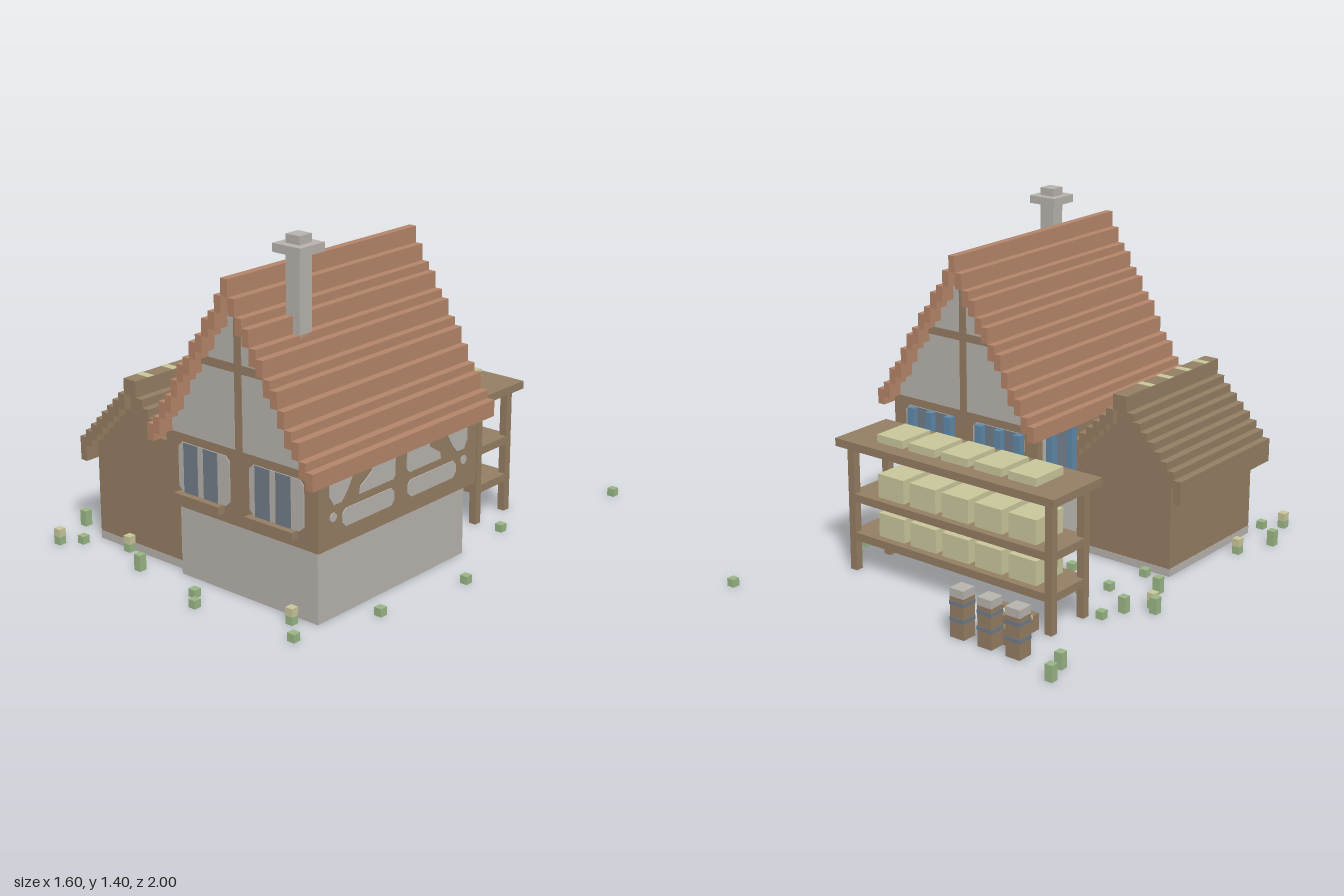
import * as THREE from 'three';

const V = 1 / 30; // one block unit; all sizes below are in blocks

function mat(name, color, side = THREE.FrontSide) {
  const m = new THREE.MeshStandardMaterial({ color, side });
  m.name = name;
  return m;
}

export function createModel() {
  const stone = mat('stone', 0xb8b3ad, THREE.DoubleSide);
  const wood = mat('wood', 0x957e64, THREE.DoubleSide);
  const tile = mat('roofTile', 0xb5866a);
  const straw = mat('straw', 0xc9c79b);
  const green = mat('grass', 0x9ab686);
  const slate = mat('slate', 0x727d88);
  const blue = mat('blue', 0x6089aa);

  const root = new THREE.Group();
  root.name = 'house';
  const part = (name) => {
    const g = new THREE.Group();
    g.name = name;
    root.add(g);
    return g;
  };
  const add = (g, name, geo, m) => {
    const mesh = new THREE.Mesh(geo, m);
    mesh.name = name;
    g.add(mesh);
    return mesh;
  };
  // block between two corners; open = without a bottom face
  function box(g, name, m, x0, x1, y0, y1, z0, z1, open = false) {
    const geo = new THREE.BoxGeometry((x1 - x0) * V, (y1 - y0) * V, (z1 - z0) * V);
    if (open) geo.setIndex([...geo.index.array].filter((_, i) => i < 18 || i >= 24));
    geo.translate((x0 + x1) / 2 * V, (y0 + y1) / 2 * V, (z0 + z1) / 2 * V);
    return add(g, name, geo, m);
  }
  // thin plate from an outline, in units
  function plate(g, name, m, pts) {
    const shape = new THREE.Shape(pts.map(([x, y]) => new THREE.Vector2(x, y)));
    return add(g, name, new THREE.ExtrudeGeometry(shape, { depth: 0.004, bevelEnabled: false }), m);
  }
  const chamfered = (x0, x1, y0, y1, c) => [
    [x0 + c, y0], [x1 - c, y0], [x1, y0 + c], [x1, y1 - c],
    [x1 - c, y1], [x0 + c, y1], [x0, y1 - c], [x0, y0 + c]];

  // ---- main house body
  const house = part('mainHouse');
  box(house, 'stoneBase', stone, -3, 18, 0, 8.95, -2, 24, true);
  box(house, 'upperStorey', wood, -4, 19, 9, 18, -3, 25);

  // stepped roof and the gable wall under it
  const roof = part('mainRoof');
  const tops = [38, 36, 34, 33, 31, 30, 28, 27, 25, 23, 22, 20, 19];
  tops.forEach((t, k) => {
    for (const s of k ? [-1, 1] : [1]) {
      const x = 7 + s * k;
      box(roof, 'tileRow', tile, x, x + 1, t - 2, t, -5, 27);
      if (t - 2 > 18) box(house, 'gableWall', stone, x, x + 1, 18, t - 2, -3, 25);
    }
  });

  // gable timbers and windows, front and back
  for (const [side, zWall, dir] of [['front', 25, 1], ['back', -3, -1]]) {
    const g = part(side + 'Facade');
    const zr = (d0, d1) => [Math.min(zWall + dir * d0, zWall + dir * d1), Math.max(zWall + dir * d0, zWall + dir * d1)];
    box(g, 'gablePost', wood, 7, 8, 18, 36, ...zr(0, 0.15));
    box(g, 'gableBeam', wood, 2, 13, 27, 28, ...zr(0, 0.13));
    const joint = add(g, 'gableJoint', new THREE.BoxGeometry(1.5 * V, 1.5 * V, 0.2 * V), wood);
    joint.position.set(7.5 * V, 27.5 * V, zWall * V);
    joint.rotation.z = Math.PI / 4;
    for (const x of [-2, 9]) {
      const p = plate(g, 'windowPlaster', stone, chamfered(x * V, (x + 8) * V, 11 * V, 17 * V, 0.02));
      p.position.z = zWall * V - (dir < 0 ? 0.004 : 0);
      for (const o of [0.9, 4])
        box(g, 'windowPane', slate, x + o, x + o + 2.15, 11, 17, ...zr(0.1, 0.22));
      box(g, 'windowSill', wood, x, x + 7, 10, 11, ...zr(0, 1));
      if (dir < 0) for (const o of [0, 3, 6])
        box(g, 'shutter', blue, x + o, x + o + 1, 11, 17, ...zr(0, 1));
    }
  }

  // plaster panels between the side braces (outline in z, y)
  const sides = part('sidePanels');
  const corner = [[.775, .565], [.64, .565], [.68, .5], [.71, .467], [.755, .467], [.775, .5]];
  const middle = [[.54, .565], [.405, .565], [.405, .48], [.418, .467], [.61, .467], [.605, .495], [.54, .535]];
  const bar = chamfered(.41, .705, .365, .435, .018);
  const peg = chamfered(.738, .772, .403, .437, .01);
  const flip = (pts) => pts.map(([z, y]) => [.74 - z, y]);
  const sidePanel = (x, pts) => {
    const p = plate(sides, 'plasterPanel', stone, pts.map(([z, y]) => [-z, y]));
    p.rotation.y = Math.PI / 2;
    p.position.x = x;
  };
  for (const pts of [corner, middle, bar, peg]) {
    sidePanel(19 * V, pts);
    sidePanel(19 * V, flip(pts));
    sidePanel(-4 * V - 0.004, pts);
  }
  // left window behind the shed
  sidePanel(-4 * V - 0.004, chamfered(-.067, .133, .367, .567, .02));
  box(sides, 'sidePane', slate, -4.2, -4, 11, 17, -.5, 2.5);
  for (const z of [-1.5, 2.5]) box(sides, 'sideShutter', blue, -5, -4, 11, 17, z, z + 1);

  // ---- chimney
  const chimney = part('chimney');
  box(chimney, 'stack', stone, 10, 12, 29, 42, 18, 20);
  box(chimney, 'cap', stone, 9, 13, 40, 41, 17, 21);

  // ---- shed on the right side
  const shed = part('shed');
  for (const x of [-18, -4]) box(shed, 'footing', stone, x - .03, x + .03, 0, 1, 5, 23);
  for (const z of [5, 23]) box(shed, 'footing', stone, -18, -4, 0, 1, z - .03, z + .03);
  box(shed, 'walls', wood, -18, -4, 1, 13, 5, 23, true);
  box(shed, 'ridge', wood, -12, -10, 20, 22, 4, 24);
  box(shed, 'gableCentre', wood, -12, -10, 13, 20, 5, 23);
  for (let k = 0; k < 8; k++) {
    const t = 20 - k;
    for (const x of k < 6 ? [-13 - k, -10 + k] : [-13 - k]) {
      box(shed, 'roofBoard', wood, x, x + 1, t - (k === 7 ? 3 : 2), t, 4, 24);
      if (t - 2 > 13) box(shed, 'gable', wood, x, x + 1, 13, t - 2, 5, 23);
    }
  }
  for (const z of [9, 13, 17, 21]) box(shed, 'ridgeStraw', straw, -12, -10, 22, 22.06, z, z + 1);

  // ---- storage rack with hay boxes
  const rack = part('storageRack');
  box(rack, 'rackTop', wood, -18, 15, 16, 17, -18, -9);
  for (const y of [4, 9]) box(rack, 'shelf', wood, -17, 14, y, y + 1, -17, -10);
  for (const x of [-17, 13]) for (const z of [-17, -11])
    box(rack, 'rackLeg', wood, x, x + 1, 0, 16, z, z + 1);
  for (const y of [5, 10, 15]) for (let i = 0; i < 5; i++)
    box(rack, 'hayBox', straw, -14 + 5 * i, -10 + 5 * i, y, y + 3, -16, -11);

  // ---- wheelbarrow
  const barrow = part('wheelbarrow');
  box(barrow, 'tray', wood, -16, -12, 1, 2.6, -21, -18);
  box(barrow, 'load', straw, -15.9, -12, 2.6, 3, -20.2, -19);
  for (const z of [-21, -19]) {
    box(barrow, 'handle', wood, -16, -10, 2, 3, z, z + 1);
    box(barrow, 'foot', wood, -13, -12, 0, 1, z, z + 1);
  }
  box(barrow, 'wheel', wood, -15, -13, 0, 2, -22, -21);

  // ---- banded barrels
  const barrels = part('barrels');
  for (const x of [-18, -14, -10]) {
    box(barrels, 'barrel', wood, x, x + 2, 0, 5, -24, -22);
    box(barrels, 'barrelLid', stone, x, x + 2, 5, 6, -24, -22);
    for (const y of [2, 4]) box(barrels, 'barrelBand', slate, x - .05, x + 2.05, y, y + .5, -24.05, -21.95);
  }

  // ---- grass tufts: x, z, height, straw tip
  const tufts = [
    [21, -30, 1], [-24, -26, 2], [-23, -23, 2], [17, -11, 1], [-19, -10, 1], [-20, -7, 2],
    [-13, -6, 1], [-23, -5, 2], [-22, -4, 2, 1], [-15, -3, 1], [4, -7, 1], [-6, -4, 2],
    [-6, -2, 1], [-8, -1, 1], [-20, 0, 2], [-16, 3, 1], [23, 4, 1], [-21, 16, 2, 1],
    [21, 17, 1], [-23, 21, 2], [-19, 25, 1], [-21, 27, 2, 1], [-8, 26, 2], [2, 27, 1],
    [4, 29, 1], [18, 28, 1], [15, 25, 2, 1], [-13, 23, 2, 1]];
  const grass = part('grassTufts');
  for (const [x, z, h, tip] of tufts) {
    box(grass, 'tuft', green, x, x + 1, 0, tip ? 1 : h, z, z + 1);
    if (tip) box(grass, 'tuftTip', straw, x, x + 1, 1, 2, z, z + 1);
  }
  return root;
}
